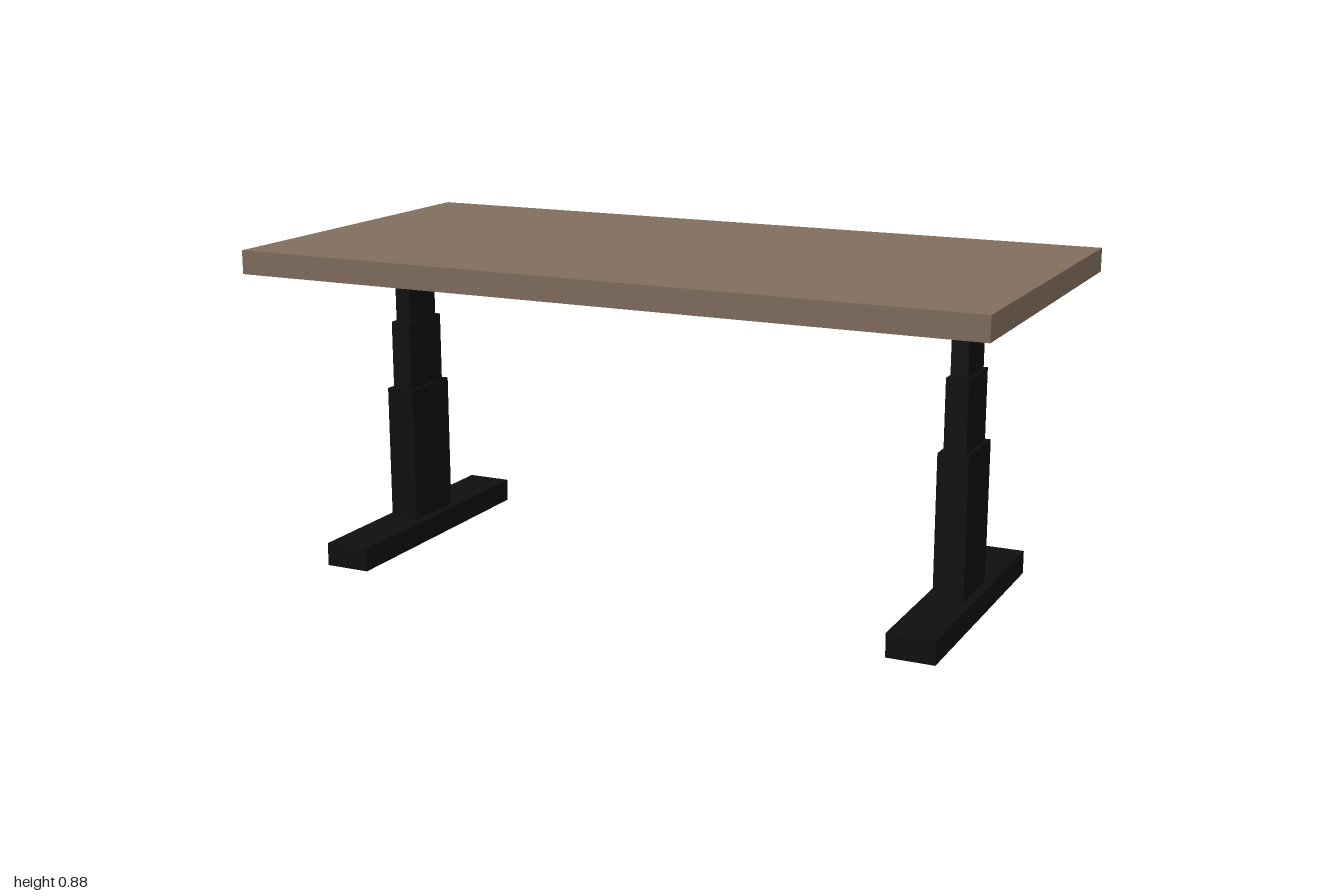
import * as THREE from 'three';

export function createModel() {
  const desk = new THREE.Group();
  desk.name = 'standingDesk';

  const wood = new THREE.MeshStandardMaterial({ color: 0x806d5d });
  wood.name = 'brown wood';
  const metal = new THREE.MeshStandardMaterial({ color: 0x0f0f0f });
  metal.name = 'black metal';

  // Box resting on height y0 and reaching up to y1
  function addBox(parent, name, material, width, depth, y0, y1) {
    const mesh = new THREE.Mesh(new THREE.BoxGeometry(width, y1 - y0, depth), material);
    mesh.name = name;
    mesh.position.y = (y0 + y1) / 2;
    parent.add(mesh);
  }

  addBox(desk, 'tabletop', wood, 2, 1, 0.8125, 0.875);

  // Telescoping legs, one at each end
  for (const side of [-1, 1]) {
    const leg = new THREE.Group();
    leg.name = side > 0 ? 'leftLeg' : 'rightLeg';
    leg.position.x = side * 0.8;
    addBox(leg, 'foot', metal, 0.125, 0.75, 0, 0.0625);
    addBox(leg, 'lowerColumn', metal, 0.08, 0.184, 0.0625, 0.4375);
    addBox(leg, 'middleColumn', metal, 0.058, 0.157, 0.4375, 0.625);
    addBox(leg, 'upperColumn', metal, 0.045, 0.128, 0.625, 0.8125);
    desk.add(leg);
  }

  return desk;
}
